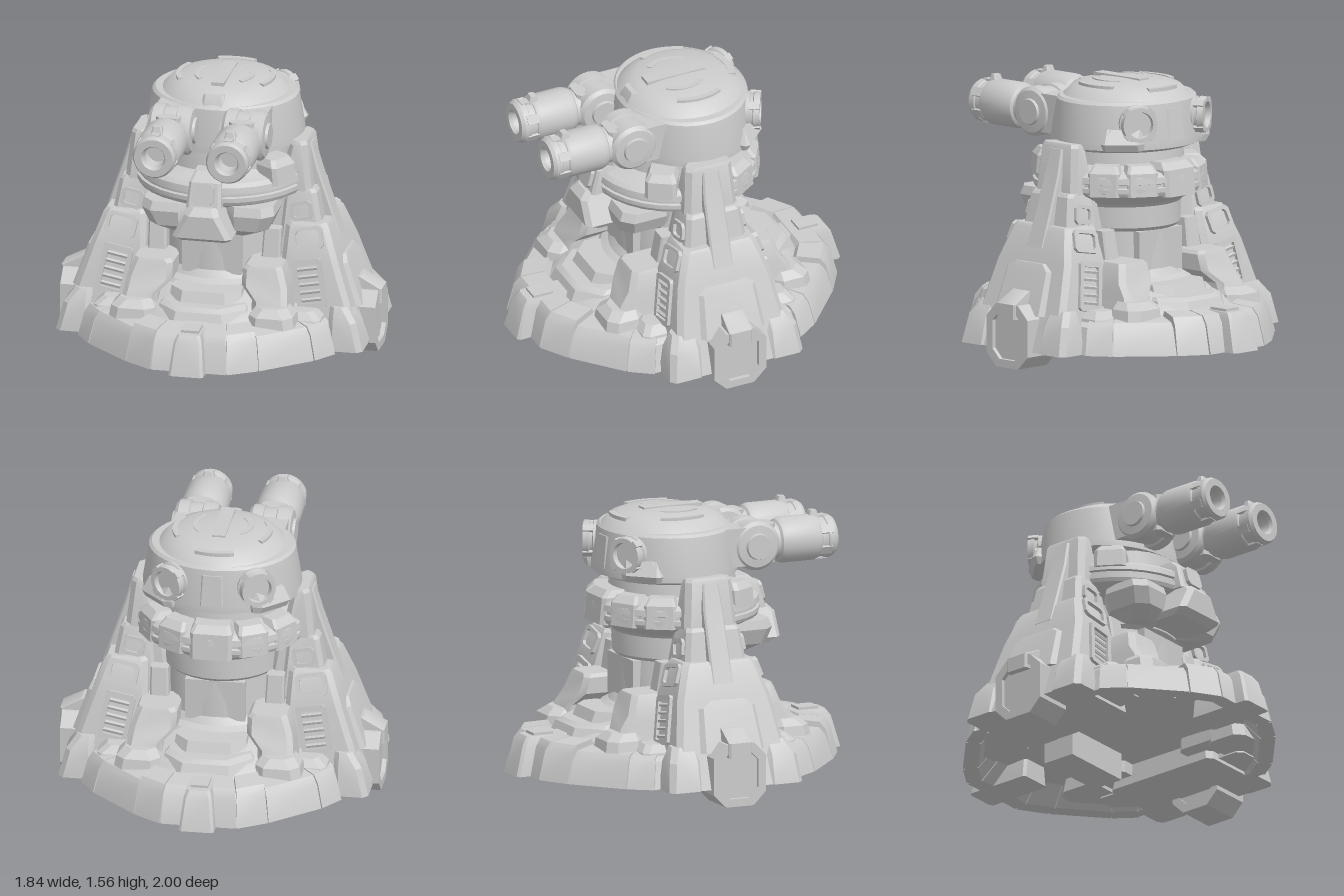
import * as THREE from 'three';
import { toCreasedNormals } from 'three/addons/utils/BufferGeometryUtils.js';

const mat = new THREE.MeshStandardMaterial({ color: 0xcccccc });
const QUADS = [[1, 1], [-1, 1], [1, -1], [-1, -1]];
const v2 = (pts) => pts.map(([x, y]) => new THREE.Vector2(x, y));

function add(parent, name, geo, pos = [0, 0, 0], rot = [0, 0, 0]) {
  const mesh = new THREE.Mesh(toCreasedNormals(geo, 0.45), mat);
  mesh.name = name;
  mesh.position.set(...pos);
  mesh.rotation.set(...rot);
  parent.add(mesh);
  return mesh;
}

function group(parent, name, pos = [0, 0, 0], rot = [0, 0, 0]) {
  const g = new THREE.Group();
  g.name = name;
  g.position.set(...pos);
  g.rotation.set(...rot);
  parent.add(g);
  return g;
}

const box = (x, y, z) => new THREE.BoxGeometry(x, y, z);
const lathe = (pts, seg = 32) => new THREE.LatheGeometry(v2(pts), seg);

// Closed solid through cross-sections of equal point count, always facing outward
function loft(rings) {
  const n = rings[0].length, last = (rings.length - 1) * n, p = rings.flat(), idx = [];
  for (let r = 0; r < rings.length - 1; r++) {
    for (let i = 0; i < n; i++) {
      const a = r * n + i, b = r * n + (i + 1) % n;
      idx.push(a, b, b + n, a, b + n, a + n);
    }
  }
  for (let i = 1; i < n - 1; i++) idx.push(0, i + 1, i, last, last + i, last + i + 1);
  let vol = 0;
  const [A, B, C] = [0, 0, 0].map(() => new THREE.Vector3());
  for (let i = 0; i < idx.length; i += 3) {
    A.set(...p[idx[i]]); B.set(...p[idx[i + 1]]); C.set(...p[idx[i + 2]]);
    vol += A.dot(B.cross(C));
  }
  if (vol < 0) idx.reverse();
  const g = new THREE.BufferGeometry();
  g.setAttribute('position', new THREE.Float32BufferAttribute(p.flat(), 3));
  g.setIndex(idx);
  return g;
}

// Chamfered block from levels [y, x0, x1, z0, z1], mirrored by sx and sz
function block(levels, c = 0.02, sx = 1, sz = 1) {
  return loft(levels.map(([y, x0, x1, z0, z1]) => [
    [x0 + c, z0], [x1 - c, z0], [x1, z0 + c], [x1, z1 - c],
    [x1 - c, z1], [x0 + c, z1], [x0, z1 - c], [x0, z0 + c],
  ].map(([x, z]) => [x * sx, y, z * sz])));
}

// Plate extruded along z, centred, with an optional hole
function plate(pts, depth, hole) {
  const s = new THREE.Shape(v2(pts));
  if (hole) s.holes.push(new THREE.Path(v2(hole)));
  return new THREE.ExtrudeGeometry(s, { depth, bevelEnabled: false }).translate(0, 0, -depth / 2);
}
const cutRect = (w, h, c) => [[-w + c, -h], [w - c, -h], [w, -h + c], [w, h - c],
  [w - c, h], [-w + c, h], [-w, h - c], [-w, -h + c]];

function arcPlate(r0, r1, a, b) {
  const s = new THREE.Shape();
  s.absarc(0, 0, r1, a, b, false);
  s.absarc(0, 0, r0, b, a, true);
  return new THREE.ExtrudeGeometry(s, { depth: 0.03, bevelEnabled: false, curveSegments: 10 }).rotateX(-Math.PI / 2);
}

function buildBase(root) {
  const base = group(root, 'base');
  const quarter = [[0.22, 0.92], [0.38, 0.82], [0.65, 0.58], [0.74, 0.45]];
  const back = [...quarter].reverse();
  const outline = [...quarter, ...back.map(([x, z]) => [x, -z]),
    ...quarter.map(([x, z]) => [-x, -z]), ...back.map(([x, z]) => [-x, z])];
  // Sloping apron and inner terraces over a hollow underside
  const levels = [[0.5, 0.22], [0.84, 0.2], [0.91, 0.1], [0.985, 0.1], [0.925, 0.25], [0.88, 0.275], [0.74, 0.29],
    [0.68, 0.34], [0.62, 0.36], [0.56, 0.4], [0.48, 0.42]];
  add(base, 'apron', loft(levels.map(([s, y]) => outline.map(([x, z]) => [x * s, y, z * s]))));
  // Raised armour segments with narrow seams, lower toward the sides
  outline.forEach(([ax, az], i) => {
    const [bx, bz] = outline[(i + 1) % outline.length];
    if (Math.abs(az - bz) > 0.8) return;
    const drop = Math.abs(ax + bx) > 0.9 ? 0.03 : 0;
    const section = [[0.9, 0.1], [1, 0.1], [0.955, 0.265 - drop], [0.915, 0.31 - drop], [0.77, 0.325 - drop], [0.73, 0.27]];
    add(base, 'apronSegment', loft([0.015, 0.985].map((t) => section.map(([s, y]) =>
      [(ax + (bx - ax) * t) * s, y, (az + (bz - az) * t) * s]))));
  });
  for (const s of [1, -1]) {
    // Centre ribs and stepped plateaus at front and back
    add(base, 'centreRib', block([[0.1, -0.1, 0.1, 0.6, 1], [0.28, -0.08, 0.08, 0.6, 0.95],
      [0.32, -0.065, 0.065, 0.6, 0.92]], 0.015, 1, s));
    add(base, 'ribStep', block([[0.25, -0.27, 0.27, 0.3, 0.71], [0.36, -0.25, 0.25, 0.3, 0.66],
      [0.38, -0.23, 0.23, 0.3, 0.63]], 0.12, 1, s));
    add(base, 'upperStep', block([[0.35, -0.21, 0.21, 0.3, 0.57], [0.44, -0.2, 0.2, 0.3, 0.53]], 0.08, 1, s));
    add(base, 'ribCap', box(0.1, 0.02, 0.12), [0, 0.325, s * 0.82]);
  }
  add(base, 'bottomBlock', box(0.44, 0.18, 0.2), [0, 0.15, -0.26]);
  for (const [sx, sz] of QUADS) {
    // Buttresses between the column and the side towers
    add(base, 'buttress', block([[0.15, 0.27, 0.52, 0.2, 0.6], [0.4, 0.27, 0.47, 0.2, 0.52],
      [0.47, 0.2, 0.46, 0.2, 0.47], [0.56, 0.2, 0.43, 0.2, 0.44], [0.58, 0.22, 0.42, 0.2, 0.43]], 0.03, sx, sz));
    add(base, 'buttressStep', block([[0.13, 0.26, 0.56, 0.4, 0.66], [0.34, 0.27, 0.52, 0.4, 0.62],
      [0.38, 0.3, 0.48, 0.4, 0.57]], 0.05, sx, sz));
    add(base, 'sideStep', block([[0.12, 0.44, 0.68, 0.25, 0.52], [0.29, 0.46, 0.65, 0.25, 0.47],
      [0.33, 0.48, 0.6, 0.25, 0.43]], 0.03, sx, sz));
    add(base, 'cornerFoot', block([[0.1, 0.68, 0.88, 0.2, 0.41], [0.26, 0.68, 0.84, 0.2, 0.39],
      [0.34, 0.68, 0.78, 0.2, 0.35]], 0.03, sx, sz));
  }
  // Central column
  add(base, 'column', lathe([[0, 0.3], [0.43, 0.3], [0.43, 0.4], [0.4, 0.44], [0.36, 0.46], [0.33, 0.5],
    [0.32, 0.72], [0.34, 0.74], [0.34, 0.86], [0.4, 0.92], [0, 0.95]]));
  for (const s of [1, -1]) add(base, 'columnPanel', box(0.34, 0.24, 0.06), [0, 0.6, s * 0.29]);
}

function buildTower(root, s) {
  const t = group(root, s > 0 ? 'leftTower' : 'rightTower');
  // Stacked, tapering tiers
  add(t, 'lowerTier', block([[0.1, 0.36, 0.87, -0.365, 0.365], [0.58, 0.39, 0.71, -0.285, 0.285],
    [0.76, 0.4, 0.645, -0.225, 0.225], [0.78, 0.41, 0.63, -0.21, 0.21]], 0.03, s));
  add(t, 'middleTier', block([[0.6, 0.35, 0.63, -0.21, 0.21], [0.94, 0.38, 0.565, -0.165, 0.165],
    [0.96, 0.39, 0.55, -0.155, 0.155]], 0.025, s));
  add(t, 'upperTier', block([[0.9, 0.34, 0.54, -0.165, 0.165], [1.21, 0.4, 0.505, -0.14, 0.14],
    [1.23, 0.42, 0.495, -0.13, 0.13]], 0.03, s));
  add(t, 'innerWall', block([[0.25, 0.28, 0.45, -0.2, 0.2], [0.75, 0.29, 0.45, -0.17, 0.17],
    [1.0, 0.33, 0.45, -0.14, 0.14]], 0.03, s));
  add(t, 'outerStrip', block([[0.66, 0.6, 0.685, -0.065, 0.065], [1.05, 0.5, 0.555, -0.06, 0.06],
    [1.2, 0.45, 0.515, -0.05, 0.05]], 0.01, s));
  add(t, 'outerPlate', block([[0.3, 0.65, 0.83, -0.2, 0.2], [0.54, 0.6, 0.745, -0.18, 0.18],
    [0.58, 0.6, 0.725, -0.13, 0.13]], 0.03, s));
  // Framed vents and windows on both faces
  for (const f of [1, -1]) {
    const face = (name, x, y, z, tilt) => group(t, name, [x * s, y, z * f], [-tilt * f, 0, 0.18 * s]);
    const vent = face('ventPanel', 0.56, 0.455, 0.305, 0.165);
    add(vent, 'ventFrame', plate(cutRect(0.085, 0.14, 0.015), 0.04, cutRect(0.058, 0.11, 0.005).reverse()));
    for (let i = 0; i < 5; i++) add(vent, 'slat', box(0.12, 0.014, 0.03), [0, -0.088 + i * 0.044, 0], [0.5 * f, 0, 0]);
    const low = face('lowerWindow', 0.535, 0.7, 0.245, 0.32);
    add(low, 'windowFrame', plate(cutRect(0.09, 0.065, 0.02), 0.04, cutRect(0.065, 0.045, 0.015).reverse()));
    const high = face('upperWindow', 0.485, 0.84, 0.18, 0.14);
    add(high, 'windowFrame', plate(cutRect(0.065, 0.055, 0.02), 0.035, cutRect(0.045, 0.035, 0.012).reverse()));
    add(t, 'innerRib', block([[0.5, 0.27, 0.38, 0.1, 0.28], [0.74, 0.28, 0.38, 0.1, 0.24]], 0.01, s, f));
  }
  // Octagonal foot pod with a recessed end
  add(t, 'footPod', plate(cutRect(0.16, 0.18, 0.075), 0.23, cutRect(0.115, 0.135, 0.055).reverse()),
    [s * 0.79, 0.18, 0], [0, Math.PI / 2, 0]);
  add(t, 'footPlate', plate(cutRect(0.12, 0.14, 0.055), 0.19), [s * 0.785, 0.18, 0], [0, Math.PI / 2, 0]);
  add(t, 'footBracket', block([[0.28, 0.7, 0.92, -0.07, 0.07], [0.365, 0.7, 0.92, -0.07, 0.07],
    [0.43, 0.7, 0.8, -0.065, 0.065]], 0.01, s));
}

function buildCollar(root) {
  const c = group(root, 'collar');
  add(c, 'collarRing', lathe([[0, 0.88], [0.36, 0.88], [0.44, 0.92], [0.48, 0.94], [0.49, 0.96], [0.49, 0.985],
    [0.475, 0.99], [0.475, 1.005], [0.49, 1.01], [0.485, 1.045], [0.46, 1.065], [0.39, 1.08], [0.36, 1.1],
    [0.35, 1.2], [0, 1.2]]));
  // Armour blocks clamped onto the ring
  for (const s of [1, -1]) {
    const front = group(c, 'frontClamp', [0, 0, 0], [0, 1.0 * s, 0]);
    add(front, 'clampBlock', block([[1.03, -0.09, 0.09, 0.33, 0.5], [1.13, -0.09, 0.09, 0.33, 0.49],
      [1.17, -0.07, 0.07, 0.33, 0.46]], 0.02));
    for (const a of [2.15, 2.62]) {
      const rear = group(c, 'rearClamp', [0, 0, 0], [0, a * s, 0]);
      add(rear, 'clampBlock', block([[0.94, -0.09, 0.09, 0.34, 0.49], [1.07, -0.09, 0.09, 0.34, 0.48],
        [1.11, -0.07, 0.07, 0.34, 0.44]], 0.015));
    }
    add(c, 'chinWing', block([[0.74, 0.1, 0.26, 0.2, 0.38], [0.79, 0.1, 0.34, 0.15, 0.45],
      [0.88, 0.1, 0.38, 0.15, 0.47], [0.93, 0.1, 0.37, 0.15, 0.45]], 0.06, s));
  }
  add(c, 'backClamp', block([[0.93, -0.12, 0.12, 0.3, 0.495], [1.08, -0.12, 0.12, 0.3, 0.48],
    [1.12, -0.1, 0.1, 0.3, 0.44]], 0.02, 1, -1));
  // Faceted chin below the front
  add(c, 'chin', block([[0.75, -0.15, 0.15, 0.25, 0.55], [0.78, -0.17, 0.17, 0.25, 0.6],
    [0.91, -0.1, 0.1, 0.25, 0.6], [0.95, -0.08, 0.08, 0.25, 0.56]], 0.03));
  add(c, 'browBlock', block([[0.94, -0.1, 0.1, 0.3, 0.54], [1.08, -0.09, 0.09, 0.3, 0.5],
    [1.13, -0.07, 0.07, 0.3, 0.44]], 0.015));
  add(c, 'browPlate', plate(cutRect(0.06, 0.06, 0.02), 0.04), [0, 1.02, 0.52], [-0.25, 0, 0]);
}

function buildHead(root) {
  const h = group(root, 'head', [0, 0, -0.05]);
  const shell = add(h, 'headShell', lathe([[0, 1.18], [0.35, 1.18], [0.4, 1.2], [0.4, 1.24], [0.37, 1.45],
    [0.355, 1.465], [0, 1.47]], 48));
  shell.scale.x = 1.12;
  add(h, 'dome', lathe([[0, 1.44], [0.36, 1.44], [0.355, 1.465], [0.305, 1.515], [0.25, 1.535], [0.14, 1.551],
    [0, 1.556]], 48));
  // Raised dome markings
  add(h, 'domeBar', box(0.075, 0.02, 0.36), [0, 1.551, 0.04]);
  for (const m of [0, Math.PI]) {
    add(h, 'domeArc', arcPlate(0.14, 0.17, m - 0.75, m + 0.75), [0, 1.522, 0.03]);
    add(h, 'domeEdgeArc', arcPlate(0.25, 0.28, m - 0.5, m + 0.5), [0, 1.51, 0]);
  }
  add(h, 'domeRearArc', arcPlate(0.27, 0.31, 1.2, 1.94), [0, 1.5, 0]);
  for (const s of [1, -1]) {
    // Rear exhaust drums
    const d = group(h, 'rearDrum', [s * 0.2, 1.35, -0.25], [-Math.PI / 2, 0, -s * 0.5]);
    add(d, 'drum', lathe([[0, 0], [0.105, 0], [0.105, 0.08], [0.095, 0.085], [0.095, 0.1], [0.105, 0.105],
      [0.1, 0.14], [0.075, 0.14], [0.07, 0.11], [0, 0.11]], 24));
    for (let i = 0; i < 4; i++) {
      const a = i * Math.PI / 2 + 0.78;
      add(d, 'drumLug', box(0.04, 0.06, 0.025), [Math.sin(a) * 0.097, 0.11, Math.cos(a) * 0.097], [0, a, 0]);
    }
    add(h, 'rearSkirt', block([[1.2, 0.1, 0.4, 0.08, 0.36], [1.24, 0.1, 0.42, 0.08, 0.37],
      [1.32, 0.1, 0.38, 0.12, 0.35]], 0.13, s, -1));
  }
  add(h, 'rearPanel', block([[1.24, -0.08, 0.08, 0.3, 0.4], [1.42, -0.07, 0.07, 0.3, 0.38]], 0.02, 1, -1));
  // Front bracket between the guns
  add(h, 'frontBracket', block([[1.2, -0.08, 0.08, 0.2, 0.38], [1.45, -0.07, 0.07, 0.2, 0.36],
    [1.52, -0.06, 0.06, 0.2, 0.32]], 0.015));
}

function buildGun(root, s) {
  const g = group(root, s > 0 ? 'leftGun' : 'rightGun', [s * 0.21, 1.345, 0]);
  // Shoulder joint and its mount
  add(g, 'mount', box(0.22, 0.22, 0.2), [0, 0, 0.28]);
  add(g, 'joint', lathe([[0, -0.14], [0.07, -0.14], [0.075, -0.125], [0.12, -0.12], [0.14, -0.1], [0.14, -0.04],
    [0.128, -0.035], [0.128, 0.035], [0.14, 0.04], [0.14, 0.1], [0.12, 0.12], [0.075, 0.125], [0.07, 0.14], [0, 0.14]]),
  [0, 0, 0.38], [0, 0, Math.PI / 2]);
  add(g, 'jointBand', block([[-0.11, -0.07, 0.07, 0.3, 0.515], [0.11, -0.07, 0.07, 0.3, 0.515]], 0.02));
  // Hollow barrel
  add(g, 'barrel', lathe([[0, 0.46], [0.105, 0.46], [0.105, 0.53], [0.12, 0.54], [0.13, 0.57], [0.13, 0.76],
    [0.122, 0.78], [0.115, 0.785], [0.115, 0.82], [0.122, 0.825], [0.122, 0.86], [0.11, 0.88], [0.07, 0.88],
    [0.06, 0.86], [0.06, 0.76], [0, 0.76]]), [0, 0, 0], [Math.PI / 2, 0, 0]);
  for (let i = 0; i < 6; i++) {
    const a = i * Math.PI / 3;
    add(g, 'muzzleLug', box(0.05, 0.02, 0.07), [Math.sin(a) * 0.115, Math.cos(a) * 0.115, 0.81], [0, 0, -a]);
  }
  add(g, 'sight', block([[0.11, -0.035, 0.035, 0.735, 0.8], [0.155, -0.025, 0.025, 0.75, 0.785]], 0.008));
}

export function createModel() {
  const root = new THREE.Group();
  root.name = 'gunTurret';
  buildBase(root);
  buildCollar(root);
  buildHead(root);
  for (const s of [1, -1]) {
    buildTower(root, s);
    buildGun(root, s);
  }
  return root;
}
